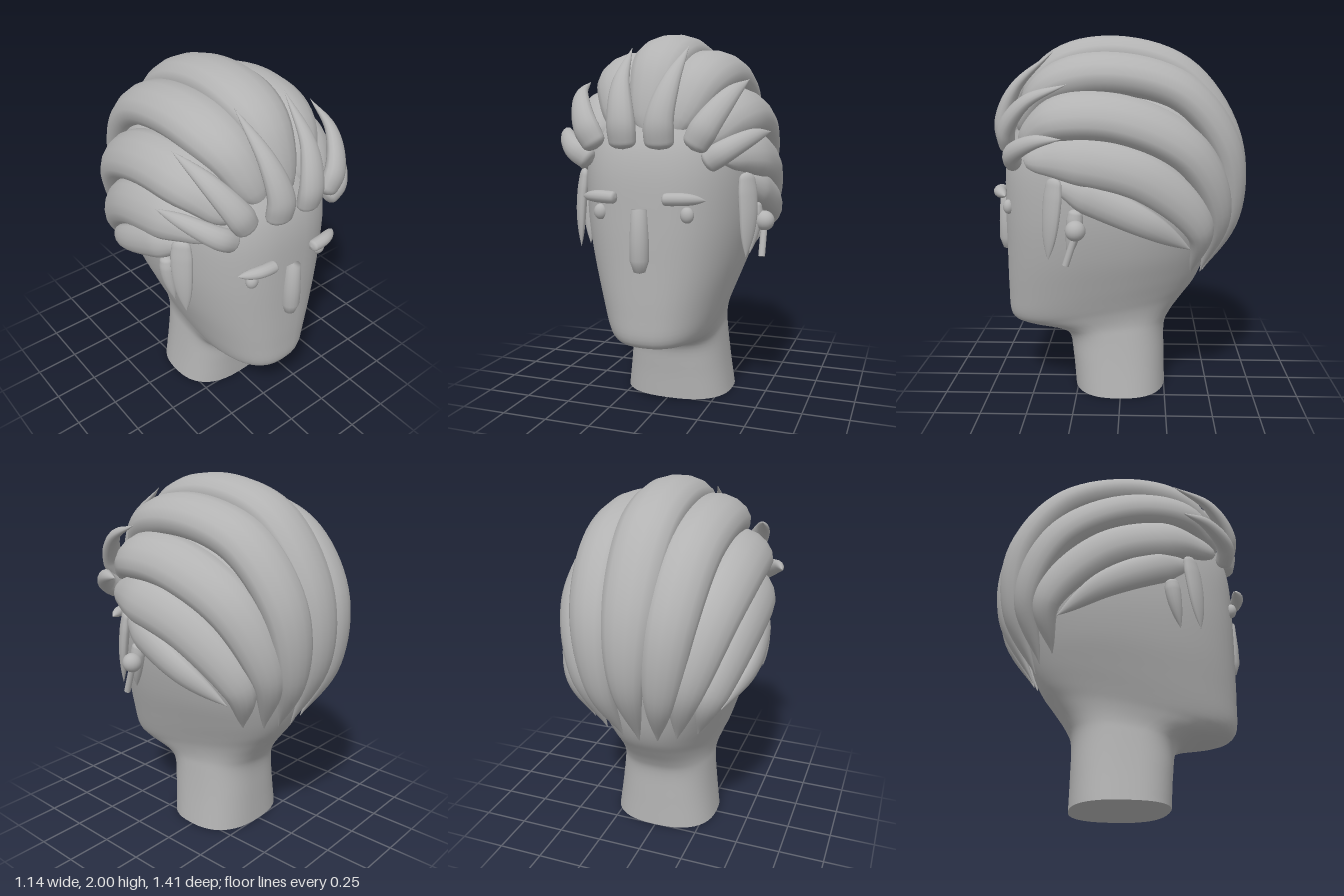
import * as THREE from 'three';

const grey = new THREE.MeshStandardMaterial({ color: 0xb3b3b3 });
grey.name = 'plain grey';

// Skin a list of closed rings (counter-clockwise about the travel direction) and cap both ends
function loft(rings) {
  const n = rings[0].length, pos = [], idx = [];
  rings.forEach(r => r.forEach(p => pos.push(p.x, p.y, p.z)));
  for (let i = 0; i < rings.length - 1; i++) {
    for (let j = 0; j < n; j++) {
      const a = i * n + j, b = i * n + (j + 1) % n;
      idx.push(a, b, a + n, b, b + n, a + n);
    }
  }
  [rings[0], rings[rings.length - 1]].forEach((ring, end) => {
    const start = pos.length / 3;
    const mid = ring.reduce((s, p) => s.add(p), new THREE.Vector3()).divideScalar(n);
    [...ring, mid].forEach(p => pos.push(p.x, p.y, p.z));
    for (let j = 0; j < n; j++) {
      const a = start + j, b = start + (j + 1) % n;
      if (end) idx.push(start + n, a, b);
      else idx.push(start + n, b, a);
    }
  });
  const g = new THREE.BufferGeometry();
  g.setAttribute('position', new THREE.Float32BufferAttribute(pos, 3));
  g.setIndex(idx);
  g.computeVertexNormals();
  return g;
}

// Flattened lock along a path: w across, t thick; rounded root, tip tapering later as power grows
function lock(points, w, t, root, power, mirror = 1) {
  const path = new THREE.CatmullRomCurve3(points.map(p => new THREE.Vector3(p[0] * mirror, p[1], p[2])));
  const middle = new THREE.Vector3(0, 1.1, 0);
  const steps = 48, sides = 14, rings = [];
  for (let i = 0; i <= steps; i++) {
    const u = i / steps, p = path.getPoint(u), T = path.getTangent(u);
    const out = p.clone().sub(middle);
    out.addScaledVector(T, -out.dot(T)).normalize();
    const side = out.clone().cross(T);
    const blunt = Math.sqrt(1 - Math.max(0, 1 - u / 0.09) ** 2);
    const swell = THREE.MathUtils.lerp(root, 1, THREE.MathUtils.smoothstep(u, 0, 0.28));
    const s = Math.max(0.02, blunt * swell * (1 - u ** power));
    rings.push(Array.from({ length: sides }, (_, j) => {
      const a = (j / sides) * Math.PI * 2;
      return p.clone().addScaledVector(side, Math.cos(a) * w * s).addScaledVector(out, Math.sin(a) * t * s);
    }));
  }
  return loft(rings);
}

// Neck, jaw and skull: [front y, back y, front z, back z, half width]
function headGeometry() {
  const keys = [
    [0, 0, 0.27, -0.255, 0.305],
    [0.18, 0.18, 0.285, -0.25, 0.28],
    [0.31, 0.36, 0.31, -0.25, 0.262],
    [0.355, 0.45, 0.4, -0.285, 0.258],
    [0.38, 0.55, 0.57, -0.355, 0.272],
    [0.425, 0.64, 0.645, -0.42, 0.297],
    [0.57, 0.74, 0.655, -0.465, 0.342],
    [0.8, 0.87, 0.655, -0.5, 0.402],
    [1.05, 1.05, 0.655, -0.54, 0.445],
    [1.3, 1.3, 0.645, -0.56, 0.455],
    [1.48, 1.48, 0.59, -0.53, 0.42],
    [1.66, 1.66, 0.46, -0.43, 0.32],
    [1.8, 1.8, 0.2, -0.18, 0.12],
  ];
  const curve = k => new THREE.CatmullRomCurve3(
    keys.map(r => new THREE.Vector3(...k.map(i => r[i]))), false, 'catmullrom');
  const ends = curve([0, 1, 4]), depth = curve([2, 3, 4]);
  const round = v => Math.sign(v) * Math.abs(v) ** 0.8;
  const steps = 60, sides = 48, rings = [];
  for (let i = 0; i <= steps; i++) {
    const e = ends.getPoint(i / steps), d = depth.getPoint(i / steps);
    rings.push(Array.from({ length: sides }, (_, j) => {
      const a = (j / sides) * Math.PI * 2, f = (1 - round(Math.sin(a))) / 2;
      return new THREE.Vector3(round(Math.cos(a)) * e.z,
        THREE.MathUtils.lerp(e.y, e.x, f), THREE.MathUtils.lerp(d.y, d.x, f));
    }));
  }
  return loft(rings);
}

// Swept-back locks, from hairline to nape
const crown = [[0, 1.47, 0.57], [0, 1.8, 0.4], [0, 1.9, 0.08], [0, 1.8, -0.32],
  [0, 1.46, -0.58], [0, 1.08, -0.63], [0, 0.69, -0.47]];
const upper = [[0.13, 1.47, 0.55], [0.21, 1.72, 0.39], [0.24, 1.8, 0.08], [0.23, 1.7, -0.32],
  [0.205, 1.4, -0.56], [0.165, 1.03, -0.595], [0.1, 0.7, -0.46]];
const middle = [[0.27, 1.43, 0.53], [0.37, 1.57, 0.33], [0.4, 1.57, -0.02],
  [0.365, 1.39, -0.37], [0.285, 1.06, -0.525], [0.2, 0.72, -0.44]];
const lower = [[0.37, 1.36, 0.5], [0.455, 1.37, 0.2], [0.46, 1.27, -0.15], [0.385, 1.0, -0.42], [0.3, 0.74, -0.38]];
const temple = [[0.44, 1.24, 0.32], [0.49, 1.17, 0.12], [0.5, 1.05, -0.14], [0.42, 0.9, -0.37]];
const sideburn = [[0.455, 1.28, 0.33], [0.47, 1.07, 0.35], [0.465, 0.85, 0.37]];
const ear = [[0.475, 1.12, 0.22], [0.475, 1.0, 0.235], [0.46, 0.85, 0.265]];
// Curled fringe tufts
const innerTuft = [[0.095, 1.4, 0.63], [0.1, 1.54, 0.645], [0.13, 1.72, 0.57], [0.155, 1.91, 0.36]];
const middleTuft = [[0.25, 1.4, 0.6], [0.32, 1.52, 0.59], [0.4, 1.66, 0.47], [0.445, 1.745, 0.26]];
const outerTuft = [[0.3, 1.33, 0.56], [0.4, 1.395, 0.55], [0.51, 1.465, 0.42], [0.565, 1.485, 0.28]];
const brow = [[0.12, 1.163, 0.66], [0.22, 1.167, 0.655], [0.325, 1.16, 0.61]];

export function createModel() {
  const model = new THREE.Group();
  model.name = 'stylisedHead';
  const add = (name, geometry, position = [0, 0, 0], scale = [1, 1, 1]) => {
    const m = new THREE.Mesh(geometry, grey);
    m.name = name;
    m.position.set(...position);
    m.scale.set(...scale);
    model.add(m);
    return m;
  };

  add('headAndNeck', headGeometry());
  add('crownLock', lock(crown, 0.165, 0.1, 0.6, 4.5));

  const ball = new THREE.SphereGeometry(1, 20, 14);
  for (const [label, m] of [['left', 1], ['right', -1]]) {
    // Hair
    add(`${label} upperLock`, lock(upper, 0.155, 0.105, 0.6, 4.5, m));
    add(`${label} middleLock`, lock(middle, 0.15, 0.1, 0.6, 4.5, m));
    add(`${label} lowerLock`, lock(lower, 0.135, 0.085, 0.5, 4, m));
    add(`${label} templeLock`, lock(temple, 0.09, 0.06, 0.5, 4, m));
    add(`${label} sideburn`, lock(sideburn, 0.06, 0.028, 0.8, 4, m));
    add(`${label} innerFringe`, lock(innerTuft, 0.08, 0.055, 0.9, 2.3, m));
    add(`${label} middleFringe`, lock(middleTuft, 0.075, 0.05, 0.85, 2.3, m));
    add(`${label} outerFringe`, lock(outerTuft, 0.062, 0.05, 0.9, 2.3, m));
    // Brow, eye and ear
    add(`${label} eyebrow`, lock(brow, 0.032, 0.035, 0.95, 5, m));
    add(`${label} eye`, ball, [0.23 * m, 1.085, 0.61], [0.035, 0.04, 0.03]);
    add(`${label} ear`, lock(ear, 0.045, 0.04, 0.8, 3, m));
  }

  // Nose with a flat top and a rounded tip
  const noseProfile = [[0, 0.79], [0.03, 0.8], [0.05, 0.86], [0.049, 0.96], [0.039, 1.11], [0, 1.11]];
  add('nose', new THREE.LatheGeometry(noseProfile.map(p => new THREE.Vector2(...p)), 16), [0, 0, 0.66]);

  // Single earring with a ball and a hanging bar
  add('earringBall', ball, [0.525, 1.02, 0.22], [0.053, 0.053, 0.053]);
  const bar = add('earringBar', new THREE.CylinderGeometry(0.018, 0.018, 0.16, 12), [0.525, 0.915, 0.247]);
  bar.rotation.x = -0.32;
  return model;
}
